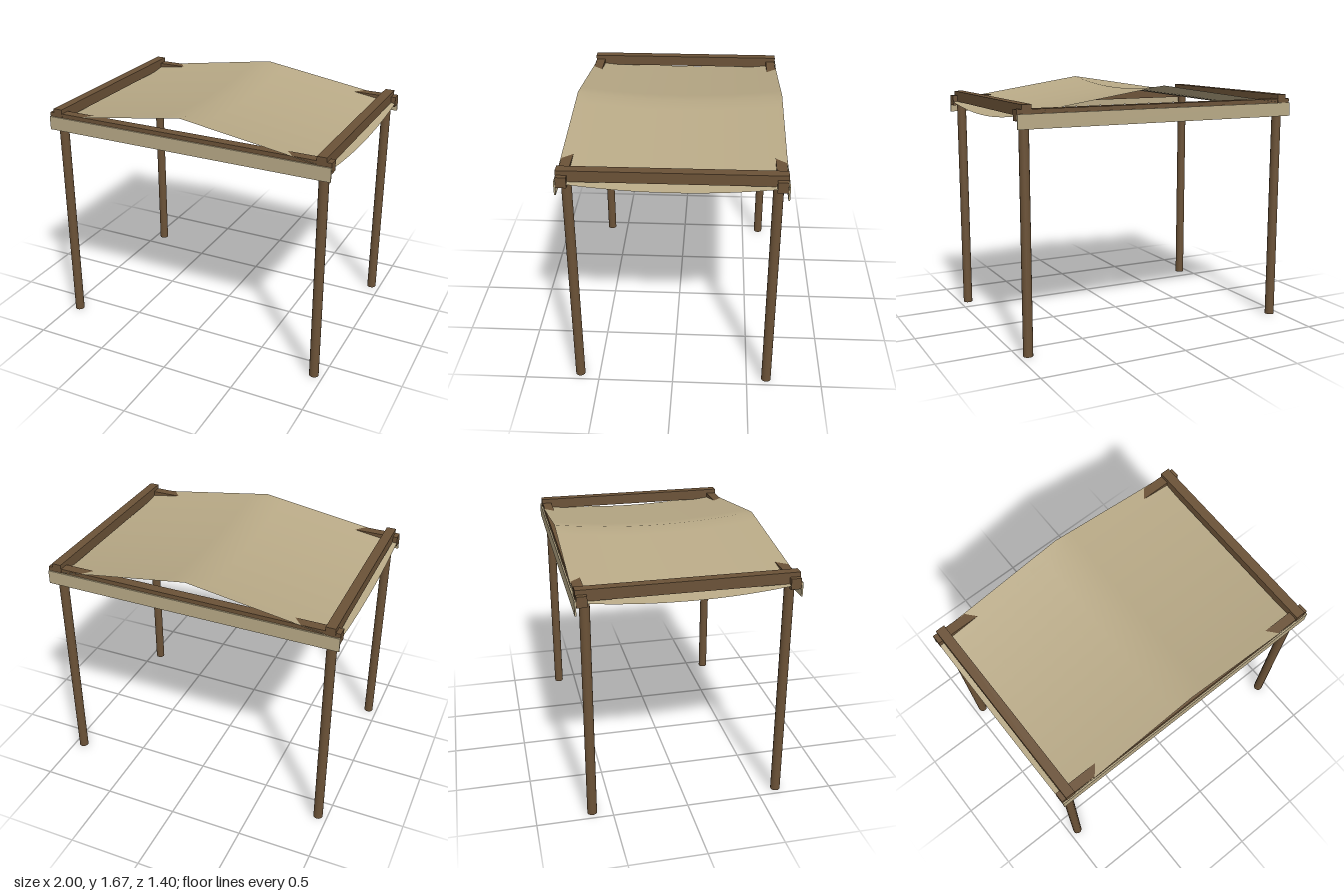
import * as THREE from 'three';

export function createModel() {
  const group = new THREE.Group();
  const wood = new THREE.MeshStandardMaterial({ color: 0x6b5237 });
  wood.name = 'brown wood';
  const cloth = new THREE.MeshStandardMaterial({ color: 0xb8a986, side: THREE.DoubleSide });
  cloth.name = 'sand canvas';

  function add(name, geometry, material, x, y, z) {
    const mesh = new THREE.Mesh(geometry, material);
    mesh.name = name;
    mesh.position.set(x, y, z);
    group.add(mesh);
  }

  // Round corner posts
  for (const x of [-1, 1]) {
    for (const z of [-1, 1]) {
      add('post', new THREE.CylinderGeometry(0.032, 0.032, 1.515, 16), wood, x * 0.937, 0.7575, z * 0.632);
    }
  }

  for (const s of [-1, 1]) {
    // Long beams, with the shorter cross beams resting over them
    add('longBeam', new THREE.BoxGeometry(2, 0.07, 0.065), wood, 0, 1.525, s * 0.654);
    add('crossBeam', new THREE.BoxGeometry(0.064, 0.073, 1.38), wood, s * 0.937, 1.553, 0);
    // Hanging cloth strips along front and back
    add('valance', new THREE.BoxGeometry(2, 0.092, 0.01), cloth, 0, 1.487, s * 0.693);
  }

  // Pitched canopy, sagging between front and back
  const halfDepth = 0.692;
  const canopy = new THREE.PlaneGeometry(2, halfDepth * 2, 16, 16).rotateX(-Math.PI / 2);
  const p = canopy.attributes.position;
  for (let i = 0; i < p.count; i++) {
    const t = p.getZ(i) / halfDepth;
    p.setY(i, 1.675 - 0.152 * Math.abs(p.getX(i)) - 0.048 * (1 - t * t));
  }
  canopy.computeVertexNormals();
  add('canopy', canopy, cloth, 0, 0, 0);

  return group;
}
